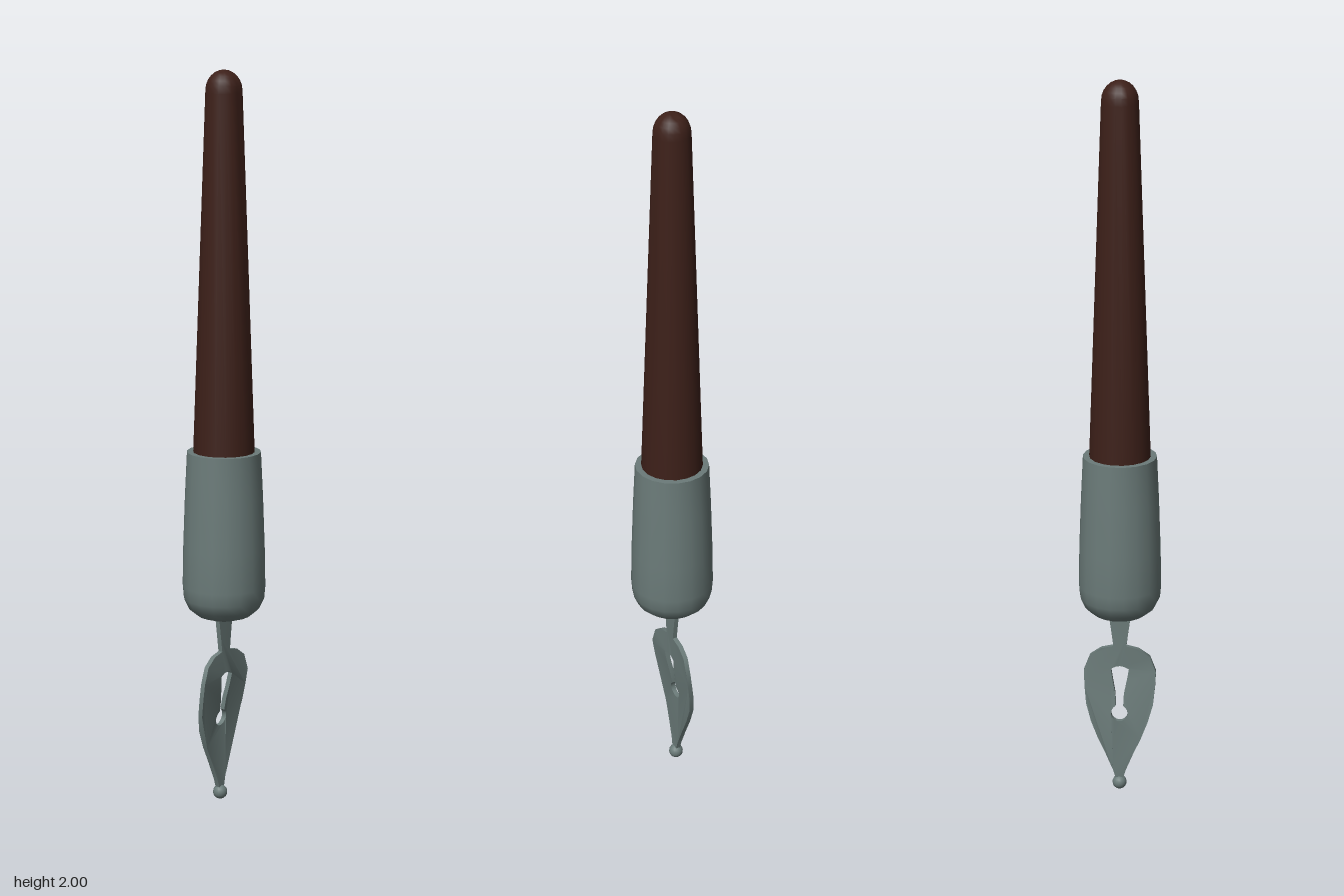
import * as THREE from 'three';
import { toCreasedNormals } from 'three/addons/utils/BufferGeometryUtils.js';

const SIDES = 18;
const wood = new THREE.MeshStandardMaterial({ color: 0x3d2019 });
const metal = new THREE.MeshStandardMaterial({ color: 0x6b7b79 });

const vectors = (pairs) => pairs.map(([x, y]) => new THREE.Vector2(x, y));

function addMesh(group, name, geometry, material) {
  const mesh = new THREE.Mesh(geometry, material);
  mesh.name = name;
  group.add(mesh);
  return mesh;
}

function turned(profile) {
  const geometry = new THREE.LatheGeometry(vectors(profile), SIDES, Math.PI / 2);
  return toCreasedNormals(geometry, 0.7);
}

// Closes a half outline by mirroring it across x = 0
function mirrored(half) {
  const other = half.filter(([x]) => x > 0).reverse().map(([x, y]) => [-x, y]);
  return vectors([...half, ...other]);
}

// Gentle front-to-back sway of the nib along its height
const sway = new THREE.SplineCurve(vectors([
  [0.02, -0.013], [0.1, -0.017], [0.2, -0.02], [0.28, -0.009],
  [0.36, 0.003], [0.43, 0.001], [0.56, 0],
]));
const swayPoints = sway.getPoints(60);
function swayAt(y) {
  const i = swayPoints.findIndex((p) => p.x >= y);
  if (i < 0) return swayPoints[60].y;
  if (i === 0) return swayPoints[0].y;
  const a = swayPoints[i - 1], b = swayPoints[i];
  return THREE.MathUtils.mapLinear(y, a.x, b.x, a.y, b.y);
}

function nibGeometry() {
  const thickness = 0.013;
  const shape = new THREE.Shape(mirrored([
    [0.008, 0.025], [0.018, 0.06], [0.038, 0.11], [0.06, 0.16], [0.079, 0.21],
    [0.093, 0.26], [0.098, 0.31], [0.1, 0.355], [0.083, 0.4], [0.052, 0.422],
    [0.018, 0.43], [0.023, 0.47], [0.03, 0.52], [0.03, 0.55],
  ]));

  // Keyhole: a tapered slot ending in a round vent
  const vent = [];
  for (let i = 0; i <= 8; i++) {
    const a = -Math.PI / 2 + (i / 8) * Math.PI * 0.85;
    vent.push([Math.max(0, 0.023 * Math.cos(a)), 0.235 + 0.023 * Math.sin(a)]);
  }
  vent[0][0] = 0;
  const hole = mirrored([
    ...vent, [0.012, 0.29], [0.019, 0.325], [0.025, 0.36], [0.012, 0.367], [0, 0.369],
  ]);
  shape.holes.push(new THREE.Path(hole));

  const geometry = new THREE.ExtrudeGeometry(shape, { depth: thickness, bevelEnabled: false });
  const pos = geometry.attributes.position;
  for (let i = 0; i < pos.count; i++) {
    pos.setZ(i, pos.getZ(i) - thickness / 2 + swayAt(pos.getY(i)));
  }
  return toCreasedNormals(geometry, 0.6);
}

export function createModel() {
  const pen = new THREE.Group();
  pen.name = 'dipPen';

  // Tapered wooden handle with a domed end
  const handle = [[0.084, 0.9], [0.083, 0.985], [0.049, 1.94]];
  for (let i = 1; i <= 6; i++) {
    const a = (i / 6) * Math.PI / 2;
    handle.push([i === 6 ? 0 : 0.049 * Math.cos(a), 1.945 + 0.055 * Math.sin(a)]);
  }
  addMesh(pen, 'handle', turned(handle), wood);

  // Metal ferrule, rounded underneath and flat at the rim
  addMesh(pen, 'ferrule', turned([
    [0, 0.518], [0.04, 0.521], [0.073, 0.532], [0.097, 0.552], [0.11, 0.58],
    [0.113, 0.615], [0.111, 0.72], [0.106, 0.86], [0.1, 0.985], [0.08, 0.985],
  ]), metal);

  // Pierced nib with a ball point
  addMesh(pen, 'nib', nibGeometry(), metal);
  const ball = addMesh(pen, 'nibBall', new THREE.SphereGeometry(0.02, 16, 10), metal);
  ball.position.set(0, 0.02, -0.013);

  return pen;
}
